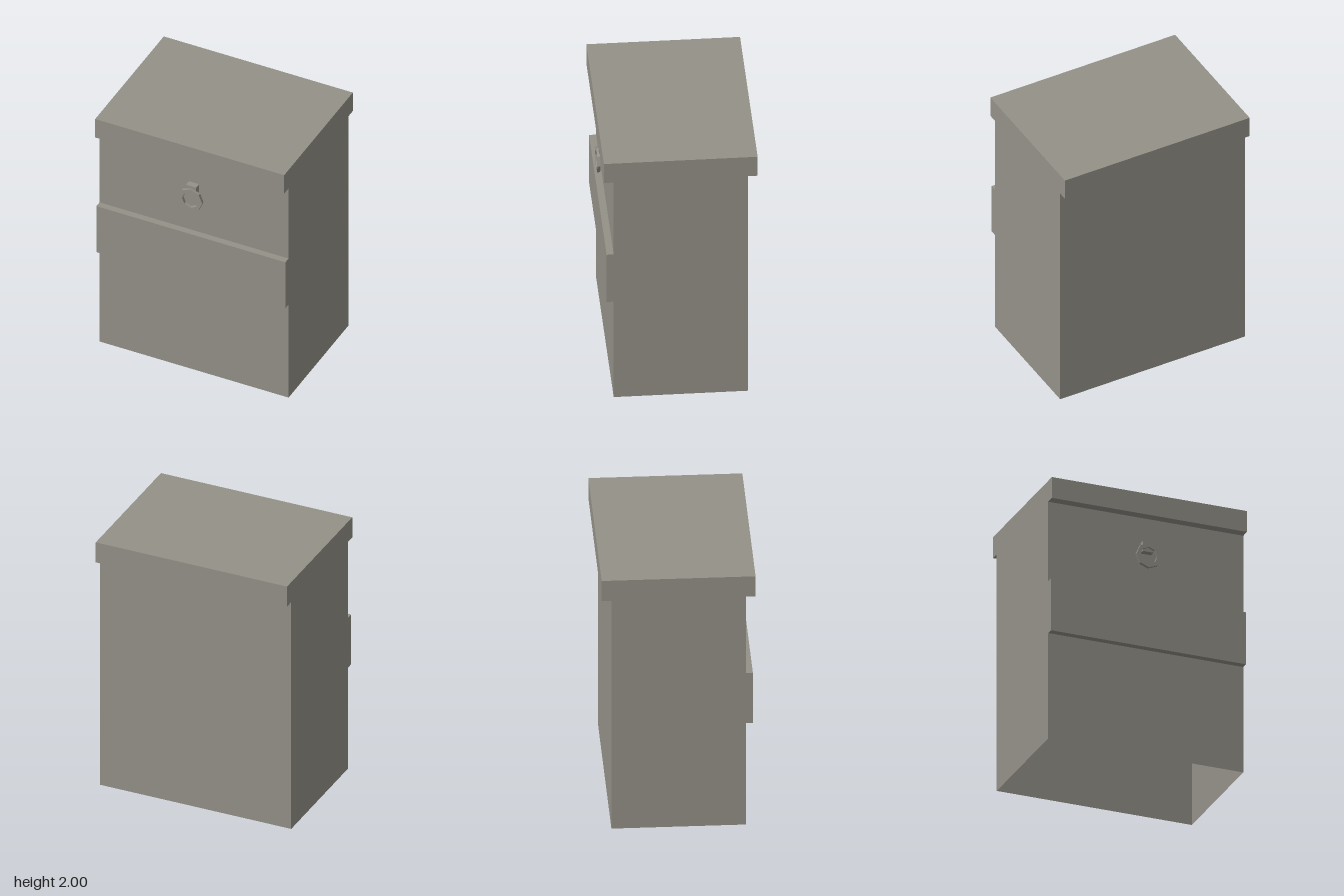
import * as THREE from 'three';

const HALF_WIDTH = 0.743;

// Side profile [z, y], swept across the full width
const PROFILE = [
  [-0.474, 0], [0.474, 0],
  [0.474, 0.818], [0.524, 0.818], [0.524, 1.222], [0.474, 1.222],
  [0.474, 1.838], [0.543, 1.838], [0.543, 2], [-0.543, 2],
  [-0.543, 1.838], [-0.474, 1.838],
];

// Sweep the profile along x and drop the faces lying on the ground
function openBottomShell() {
  const shape = new THREE.Shape(PROFILE.map(([z, y]) => new THREE.Vector2(z, y)));
  const swept = new THREE.ExtrudeGeometry(shape, { depth: 2 * HALF_WIDTH, bevelEnabled: false });
  swept.rotateY(-Math.PI / 2).translate(HALF_WIDTH, 0, 0);
  const source = swept.index ? swept.toNonIndexed() : swept;
  const p = source.attributes.position;
  const kept = [];
  for (let i = 0; i < p.count; i += 3) {
    if (Math.max(p.getY(i), p.getY(i + 1), p.getY(i + 2)) < 1e-4) continue;
    for (let k = i; k < i + 3; k++) kept.push(p.getX(k), p.getY(k), p.getZ(k));
  }
  const geometry = new THREE.BufferGeometry();
  geometry.setAttribute('position', new THREE.Float32BufferAttribute(kept, 3));
  geometry.computeVertexNormals();
  return geometry;
}

function octagon(radius, Type) {
  const points = [];
  for (let i = 0; i < 8; i++) {
    const a = (i * Math.PI) / 4;
    points.push(new THREE.Vector2(radius * Math.cos(a), radius * Math.sin(a)));
  }
  return new Type(points);
}

export function createModel() {
  const model = new THREE.Group();
  model.name = 'cabinet';
  const stone = new THREE.MeshStandardMaterial({ color: 0x949188, side: THREE.DoubleSide });
  stone.name = 'warm grey';

  const add = (name, geometry, x, y, z) => {
    const mesh = new THREE.Mesh(geometry, stone);
    mesh.name = name;
    mesh.position.set(x, y, z);
    model.add(mesh);
  };

  // Hollow body with overhanging top and raised front band
  add('body', openBottomShell(), 0, 0, 0);

  // Bracket that holds the pull ring
  add('ringBracket', new THREE.BoxGeometry(0.08, 0.08, 0.046), 0, 1.601, 0.497);

  // Flat octagonal pull ring
  const ring = octagon(0.094, THREE.Shape);
  ring.holes.push(octagon(0.064, THREE.Path));
  add('pullRing', new THREE.ExtrudeGeometry(ring, { depth: 0.022, bevelEnabled: false }), 0, 1.528, 0.513);

  return model;
}
